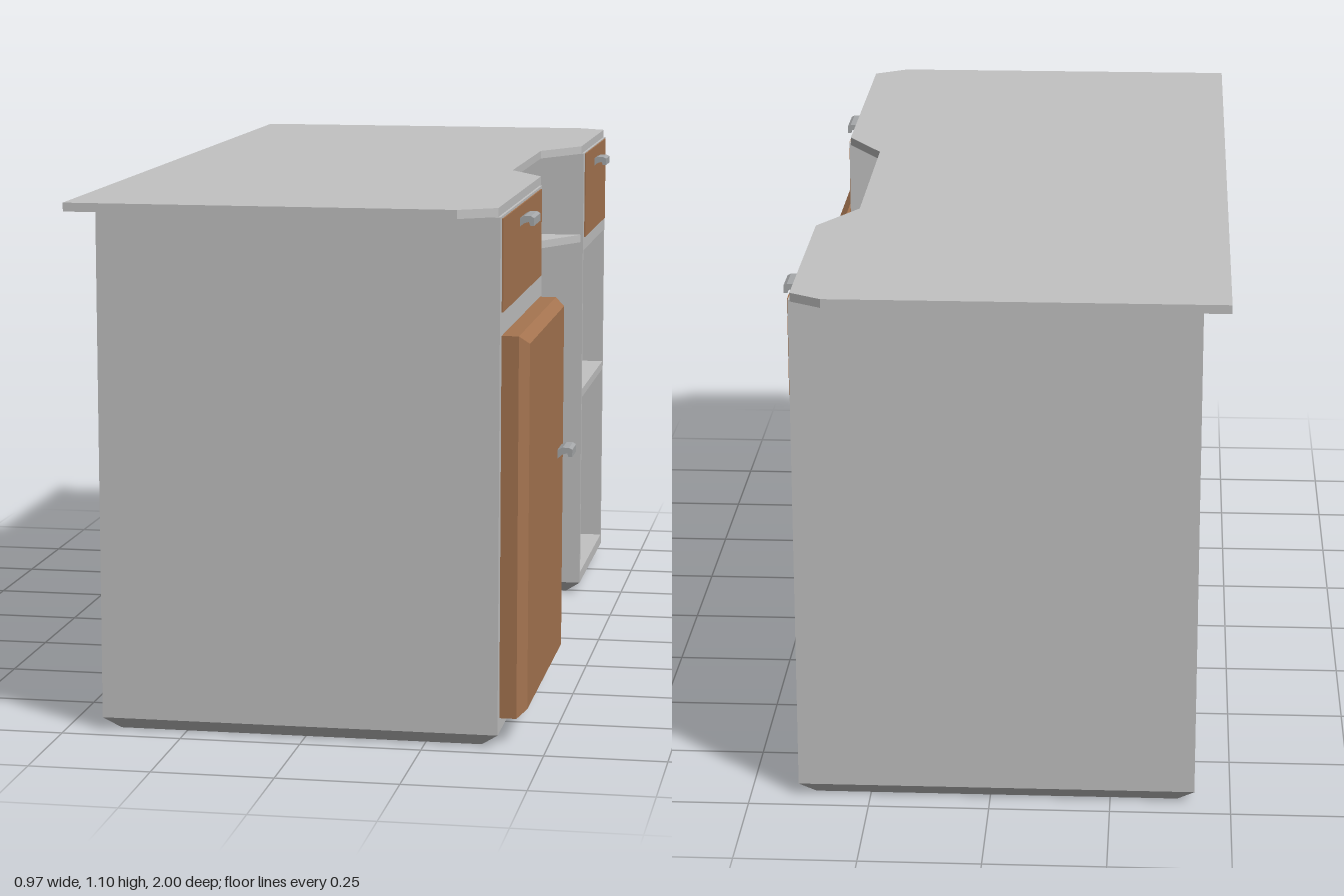
import * as THREE from 'three';

const mat = (name, color) => {
  const m = new THREE.MeshStandardMaterial({ color });
  m.name = name;
  return m;
};

export function createModel() {
  const desk = new THREE.Group();
  desk.name = 'desk';
  const grey = mat('greyLaminate', 0xc2c2c2);
  const wood = mat('brownWood', 0xa67550);
  const steel = mat('steel', 0xa6a8aa);

  const add = (name, geometry, material, parent = desk) => {
    const mesh = new THREE.Mesh(geometry, material);
    mesh.name = name;
    parent.add(mesh);
    return mesh;
  };

  // Box given by its limits on each axis
  const block = (x0, x1, y0, y1, z0, z1) =>
    new THREE.BoxGeometry(x1 - x0, y1 - y0, z1 - z0)
      .translate((x0 + x1) / 2, (y0 + y1) / 2, (z0 + z1) / 2);

  // Flat slab from an outline of [x, z] points
  const slab = (points, y, height) => {
    const shape = new THREE.Shape(points.map(([x, z]) => new THREE.Vector2(x, -z)));
    return new THREE.ExtrudeGeometry(shape, { depth: height, bevelEnabled: false })
      .rotateX(-Math.PI / 2).translate(0, y, 0);
  };

  // Desk top with cut corners and a recessed middle
  add('deskTop', slab([
    [-0.48, -1], [0.33, -1], [0.395, -0.96], [0.395, -0.47], [0.315, -0.33],
    [0.315, 0.16], [0.395, 0.29], [0.395, 0.95], [0.32, 1], [-0.48, 1],
  ], 1.08, 0.018), grey);

  // Shelf under the recess and the panel behind it
  add('middleShelf', slab([
    [-0.425, -0.476], [0.395, -0.476], [0.315, -0.33],
    [0.315, 0.16], [0.395, 0.311], [-0.425, 0.311],
  ], 0.866, 0.018), grey);
  add('middleBack', block(-0.425, -0.41, 0.884, 1.08, -0.475, 0.31), grey);

  // Plinth that narrows towards the floor
  const plinth = (name, z0, z1) => {
    const g = block(-0.425, 0.4, 0, 0.025, z0, z1);
    const p = g.attributes.position;
    const mid = (z0 + z1) / 2;
    for (let i = 0; i < p.count; i++) {
      if (p.getY(i) > 0.01) continue;
      p.setX(i, p.getX(i) - Math.sign(p.getX(i)) * 0.035);
      p.setZ(i, p.getZ(i) - Math.sign(p.getZ(i) - mid) * 0.02);
    }
    g.computeVertexNormals();
    add(name, g, grey);
  };

  // Closed pedestal with a drawer and a door
  add('cupboardBody', block(-0.425, 0.4, 0.025, 1.08, 0.31, 0.955), grey);
  plinth('cupboardPlinth', 0.31, 0.955);
  add('wideDrawerFront', block(0.398, 0.403, 0.887, 1.075, 0.335, 0.93), wood);

  const door = new THREE.Group();
  door.name = 'door';
  desk.add(door);
  add('doorSlab', block(0.4, 0.435, 0.055, 0.84, 0.332, 0.93), wood, door);
  const bevel = block(0.435, 0.455, 0.055, 0.84, 0.332, 0.93);
  const bp = bevel.attributes.position;
  for (let i = 0; i < bp.count; i++) {
    if (bp.getX(i) < 0.445) continue;
    bp.setY(i, bp.getY(i) - Math.sign(bp.getY(i) - 0.4475) * 0.017);
    bp.setZ(i, bp.getZ(i) - Math.sign(bp.getZ(i) - 0.631) * 0.017);
  }
  bevel.computeVertexNormals();
  add('doorBevel', bevel, wood, door);

  // Open pedestal made of panels
  const shelves = new THREE.Group();
  shelves.name = 'shelfPedestal';
  desk.add(shelves);
  add('innerSide', block(-0.425, 0.4, 0.025, 1.08, -0.487, -0.475), grey, shelves);
  add('outerSide', block(-0.425, 0.4, 0.025, 1.08, -0.952, -0.94), grey, shelves);
  add('shelfBack', block(-0.425, -0.41, 0.025, 1.08, -0.94, -0.487), grey, shelves);
  add('drawerBox', block(-0.41, 0.4, 0.845, 1.08, -0.94, -0.487), grey, shelves);
  add('shelfBoard', block(-0.41, 0.4, 0.485, 0.505, -0.94, -0.487), grey, shelves);
  add('shelfFloor', block(-0.41, 0.4, 0.025, 0.05, -0.94, -0.487), grey, shelves);
  plinth('shelfPlinth', -0.952, -0.475);
  add('narrowDrawerFront', block(0.398, 0.403, 0.876, 1.078, -0.935, -0.5), wood);

  // Hooked pulls: one profile, drawn out along z
  const pull = (name, x, y, z, width) => {
    const shape = new THREE.Shape([
      [-0.002, -0.014], [0.011, -0.003], [0.021, 0], [0.024, -0.008], [0.032, -0.008],
      [0.032, 0.008], [0.025, 0.012], [0.011, 0.012], [-0.002, 0.006],
    ].map(([a, b]) => new THREE.Vector2(a, b)));
    const g = new THREE.ExtrudeGeometry(shape, { depth: width, bevelEnabled: false });
    add(name, g.translate(x, y, z - width / 2), steel);
  };
  pull('wideDrawerPull', 0.4, 1.042, 0.635, 0.1);
  pull('narrowDrawerPull', 0.4, 1.042, -0.717, 0.075);
  pull('doorPull', 0.455, 0.517, 0.41, 0.07);

  return desk;
}
